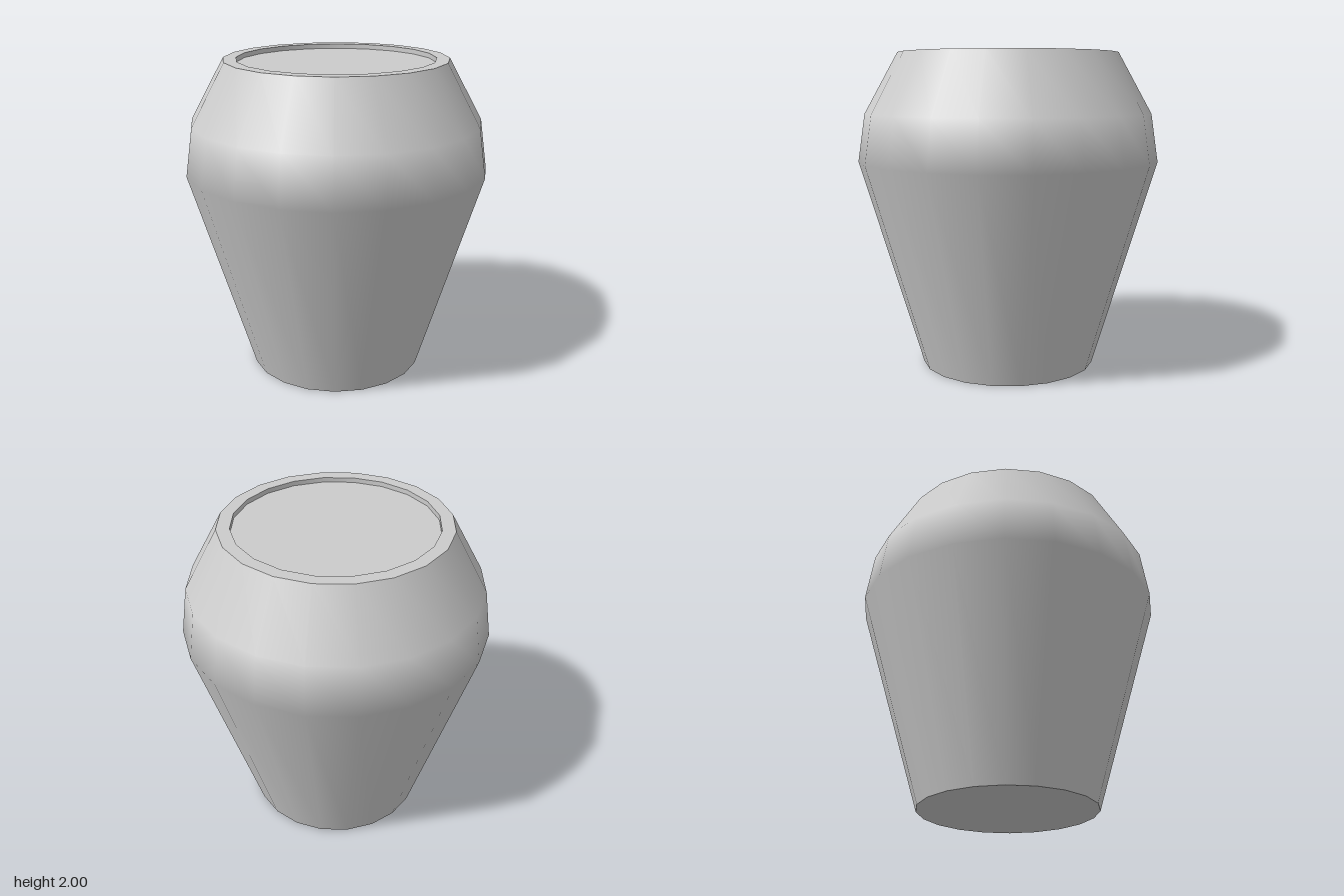
import * as THREE from 'three';

const SIDES = 20;
const TURN = 0.06; // slight twist of the polygon about the axis

const material = new THREE.MeshStandardMaterial({ color: 0xcccccc });

// Revolve [radius, height] points around the y axis
function revolve(name, points) {
  const profile = points.map(([r, y]) => new THREE.Vector2(r, y));
  const mesh = new THREE.Mesh(new THREE.LatheGeometry(profile, SIDES, TURN), material);
  mesh.name = name;
  return mesh;
}

export function createModel() {
  const group = new THREE.Group();
  group.name = 'jar';

  // Tapered body, shoulder band and upper cone
  const outline = [[0.555, 0], [0.95, 1.32], [0.905, 1.62], [0.695, 2]];
  const body = revolve('body', outline);

  // Both cones shade straight; only the shoulder band blends between them
  const slope = ([r0, y0], [r1, y1]) => new THREE.Vector2(y1 - y0, r0 - r1).normalize();
  const lower = slope(outline[0], outline[1]);
  const upper = slope(outline[2], outline[3]);
  const { position, normal } = body.geometry.attributes;
  for (let i = 0; i < position.count; i++) {
    const n = i % outline.length < 2 ? lower : upper;
    const angle = Math.atan2(position.getX(i), position.getZ(i));
    normal.setXYZ(i, n.x * Math.sin(angle), n.y, n.x * Math.cos(angle));
  }

  group.add(
    body,
    revolve('base', [[0, 0], [0.555, 0]]),
    revolve('rim', [[0.695, 2], [0.615, 2]]),
    revolve('innerWall', [[0.615, 2], [0.615, 1.97]]),
    revolve('recessedTop', [[0.615, 1.97], [0, 1.97]])
  );
  return group;
}
